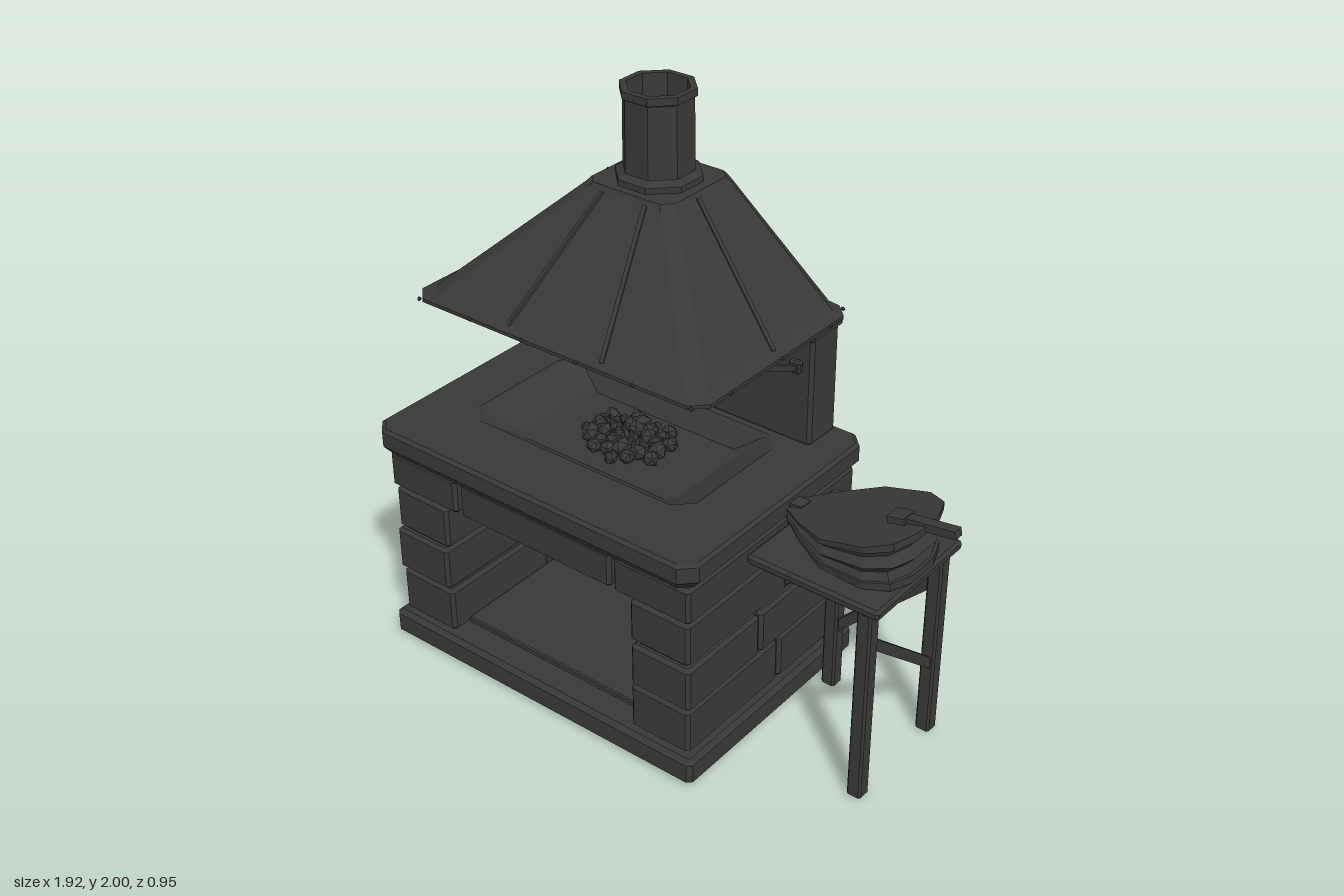
import * as THREE from 'three';

const iron = new THREE.MeshStandardMaterial({ color: 0x383838, flatShading: true, side: THREE.DoubleSide });
iron.name = 'dark grey';

// Eight-cornered ring (rectangle with cut corners), anticlockwise from above
function ring(y, x0, x1, z0, z1, c) {
  return [[x1, z0 + c], [x1 - c, z0], [x0 + c, z0], [x0, z0 + c],
    [x0, z1 - c], [x0 + c, z1], [x1 - c, z1], [x1, z1 - c]].map(([x, z]) => [x, y, z]);
}

// Skin over a stack of rings, flat shaded, with optional end caps
function loft(name, rings, capBottom = true, capTop = true) {
  const p = [];
  const tri = (a, b, c) => p.push(...a, ...b, ...c);
  for (let k = 0; k + 1 < rings.length; k++) {
    const a = rings[k], b = rings[k + 1], n = a.length;
    for (let i = 0; i < n; i++) {
      const j = (i + 1) % n;
      tri(a[i], a[j], b[j]);
      tri(a[i], b[j], b[i]);
    }
  }
  const lo = rings[0], hi = rings[rings.length - 1];
  for (let i = 1; i + 1 < lo.length; i++) {
    if (capBottom) tri(lo[0], lo[i + 1], lo[i]);
    if (capTop) tri(hi[0], hi[i], hi[i + 1]);
  }
  const g = new THREE.BufferGeometry();
  g.setAttribute('position', new THREE.Float32BufferAttribute(p, 3));
  g.computeVertexNormals();
  const m = new THREE.Mesh(g, iron);
  m.name = name;
  return m;
}

// Block with bevelled edges
function block(name, x0, x1, y0, y1, z0, z1, b = 0.012) {
  return loft(name, [
    ring(y0, x0 + b, x1 - b, z0 + b, z1 - b, b * 0.5),
    ring(y0 + b, x0, x1, z0, z1, b),
    ring(y1 - b, x0, x1, z0, z1, b),
    ring(y1, x0 + b, x1 - b, z0 + b, z1 - b, b * 0.5),
  ]);
}

// Straight bar between two points
function bar(name, a, b, w, h = w) {
  const A = new THREE.Vector3(...a), B = new THREE.Vector3(...b);
  const m = new THREE.Mesh(new THREE.BoxGeometry(w, h, A.distanceTo(B)), iron);
  m.position.copy(A).add(B).multiplyScalar(0.5);
  m.lookAt(B);
  m.name = name;
  return m;
}

// Heap of rough lumps
function coals(name, cx, y, cz, rx, rz, count, seed) {
  const g = new THREE.Group();
  g.name = name;
  const rnd = () => (seed = (seed * 16807) % 2147483647) / 2147483647;
  const geo = new THREE.IcosahedronGeometry(1, 0);
  for (let i = 0; i < count; i++) {
    const a = i * 2.4, r = Math.sqrt((i + 0.5) / count);
    const s = 0.02 + 0.014 * rnd();
    const m = new THREE.Mesh(geo, iron);
    m.name = 'coal';
    m.position.set(cx + Math.cos(a) * r * rx, y + s * 0.7 + 0.02 * (1 - r), cz + Math.sin(a) * r * rz);
    m.scale.set(s * 1.2, s, s);
    m.rotation.set(rnd() * 3, rnd() * 3, rnd() * 3);
    g.add(m);
  }
  return g;
}

function buildHearth(g) {
  g.add(block('plinth', -0.955, 0.36, 0, 0.1, -0.463, 0.453, 0.016));

  // Side pillars in staggered stone courses
  const courses = [[0.1, 0.277, -0.06, 0], [0.277, 0.449, 0.055, 0.007], [0.449, 0.617, -0.1, 0], [0.617, 0.757, -0.095, 0.007]];
  courses.forEach(([y0, y1, split, out], k) => {
    const inner = k === 3 ? 0.3 : 0.235;
    for (const side of [-1, 1]) {
      const outer = -0.297 + side * (0.628 + out), inside = outer - side * inner;
      const x0 = Math.min(outer, inside), x1 = Math.max(outer, inside);
      g.add(block('pillarStone', x0, x1, y0 + 0.003, y1 - 0.003, split + 0.004, 0.425 + out));
      g.add(block('pillarStone', x0, x1, y0 + 0.003, y1 - 0.003, -0.45 - out, split - 0.004));
    }
  });
  g.add(block('pillarCore', -0.91, -0.71, 0.08, 0.77, -0.43, 0.41));
  g.add(block('pillarCore', 0.115, 0.315, 0.08, 0.77, -0.43, 0.41));

  // Lintels, rear panel, ash tray
  g.add(block('frontLintel', -0.615, 0.025, 0.62, 0.755, 0.22, 0.43));
  g.add(block('backLintel', -0.615, 0.025, 0.65, 0.755, -0.455, -0.27));
  g.add(block('backPanel', -0.72, 0.13, 0.09, 0.65, -0.44, -0.38, 0.004));
  g.add(block('ashTray', -0.685, 0.085, 0.11, 0.135, -0.37, 0.36, 0.005));
  g.add(coals('lowerCoals', -0.4, 0.135, -0.2, 0.14, 0.1, 18, 7));

  // Worktop with a sunken fire basin
  g.add(loft('worktop', [
    ring(0.757, -0.925, 0.335, -0.44, 0.44, 0.04),
    ring(0.8, -0.962, 0.372, -0.476, 0.472, 0.05),
    ring(0.855, -0.962, 0.372, -0.476, 0.472, 0.05),
    ring(0.865, -0.95, 0.36, -0.464, 0.46, 0.045),
    ring(0.865, -0.76, 0.165, -0.29, 0.23, 0.06),
    ring(0.855, -0.75, 0.155, -0.28, 0.22, 0.06),
    ring(0.79, -0.62, 0.03, -0.24, 0.13, 0.03),
  ]));
  g.add(coals('fireCoals', -0.3, 0.79, -0.06, 0.17, 0.13, 34, 23));
}

function buildHood(g) {
  // Rear wall with capstones
  g.add(block('rearWall', -0.85, 0.255, 0.86, 1.3, -0.455, -0.308));
  for (const [a, b] of [[-0.855, -0.535], [-0.525, -0.13], [-0.12, 0.26]])
    g.add(block('capstone', a, b, 1.25, 1.303, -0.468, -0.3, 0.008));

  // Open sheet hood with a flared lip
  g.add(loft('hood', [
    ring(1.295, -0.86, 0.265, -0.45, 0.29, 0.05),
    ring(1.3, -0.885, 0.29, -0.47, 0.315, 0.05),
    ring(1.312, -0.885, 0.29, -0.47, 0.315, 0.05),
    ring(1.322, -0.85, 0.255, -0.46, 0.285, 0.05),
    ring(1.68, -0.477, -0.117, -0.398, -0.055, 0.035),
    ring(1.695, -0.465, -0.13, -0.388, -0.067, 0.035),
    ring(1.695, -0.4, -0.195, -0.33, -0.125, 0.06),
  ], false, false));

  // Raised seams
  for (const s of [-1, 1]) {
    g.add(bar('frontSeam', [-0.297 + s * 0.19, 1.32, 0.287], [-0.297 + s * 0.085, 1.68, -0.054], 0.014));
    g.add(bar('sideSeam', [-0.297 + s * 0.553, 1.32, -0.09], [-0.297 + s * 0.18, 1.68, -0.195], 0.014));
    g.add(bar('hoodStrut', [-0.297 + s * 0.495, 1.3, 0.035], [-0.297 + s * 0.495, 1.15, -0.29], 0.018));
    g.add(block('strutFoot', -0.297 + s * 0.495 - 0.022, -0.297 + s * 0.495 + 0.022, 1.13, 1.175, -0.31, -0.285, 0.006));
  }

  // Rivets along the lip
  const rivetGeo = new THREE.OctahedronGeometry(0.009);
  const spots = [];
  for (let i = 0; i < 6; i++) spots.push([-0.85 + i * 0.221, 0.314], [-0.85 + i * 0.221, -0.468]);
  for (const z of [-0.35, -0.09, 0.17]) spots.push([-0.884, z], [0.289, z]);
  for (const [x, z] of spots) {
    const r = new THREE.Mesh(rivetGeo, iron);
    r.name = 'rivet';
    r.position.set(x, 1.306, z);
    g.add(r);
  }

  // Chimney: octagonal tube with base collar and rim
  const oct = (y, r) => ring(y, -0.297 - r, -0.297 + r, -0.228 - r, -0.228 + r, r * 0.586);
  g.add(loft('chimney', [oct(1.69, 0.133), oct(1.715, 0.133), oct(1.73, 0.11), oct(1.97, 0.108),
    oct(1.975, 0.116), oct(2, 0.116), oct(2, 0.095), oct(1.69, 0.095)], false, false));
}

function buildTable(g) {
  g.add(block('tableTop', 0.365, 0.848, 0.728, 0.765, -0.298, 0.183, 0.01));
  for (const [x, z] of [[0.413, -0.262], [0.79, -0.262], [0.79, 0.142]])
    g.add(block('tableLeg', x - 0.026, x + 0.026, 0, 0.74, z - 0.026, z + 0.026, 0.007));
  g.add(bar('backBrace', [0.425, 0.25, -0.262], [0.78, 0.6, -0.262], 0.025, 0.035));
  g.add(bar('sideBrace', [0.79, 0.6, 0.13], [0.79, 0.28, -0.25], 0.025, 0.035));
}

function buildBellows(g) {
  // Teardrop outline, anticlockwise from above; z is relative to the centre line
  const half = [[0.855, 0.06], [0.825, 0.14], [0.75, 0.185], [0.59, 0.18], [0.46, 0.105], [0.36, 0.03]];
  const outline = [...half.map(([x, z]) => [x, -z]), ...half.slice().reverse()];
  const cz = -0.06;
  // t runs from lower board to upper board; boards meet near the nozzle
  const level = (t, s) => outline.map(([x, z]) => {
    const px = 0.6 + (x - 0.6) * s, u = (px - 0.36) / 0.49;
    return [px, (0.785 - 0.01 * u) * (1 - t) + (0.825 + 0.13 * u) * t, cz + z * s];
  });
  g.add(loft('lowerBoard', [level(-0.02, 0.98), level(0.14, 0.98)]));
  g.add(loft('leatherFolds', [level(0.14, 0.94), level(0.3, 0.88), level(0.48, 0.99), level(0.66, 0.88), level(0.86, 0.96)]));
  g.add(loft('upperBoard', [level(0.84, 1), level(1, 1)]));
  g.add(bar('nozzle', [0.3, 0.81, cz], [0.42, 0.82, cz], 0.05));
  g.add(bar('handle', [0.74, 0.935, cz], [0.957, 0.965, cz], 0.036, 0.028));
  g.add(bar('handleBracket', [0.73, 0.932, cz], [0.79, 0.945, cz], 0.06, 0.03));
}

export function createModel() {
  const model = new THREE.Group();
  model.name = 'forge';
  const parts = { hearth: buildHearth, hoodAssembly: buildHood, sideTable: buildTable, bellows: buildBellows };
  for (const [name, build] of Object.entries(parts)) {
    const g = new THREE.Group();
    g.name = name;
    build(g);
    model.add(g);
  }
  return model;
}
